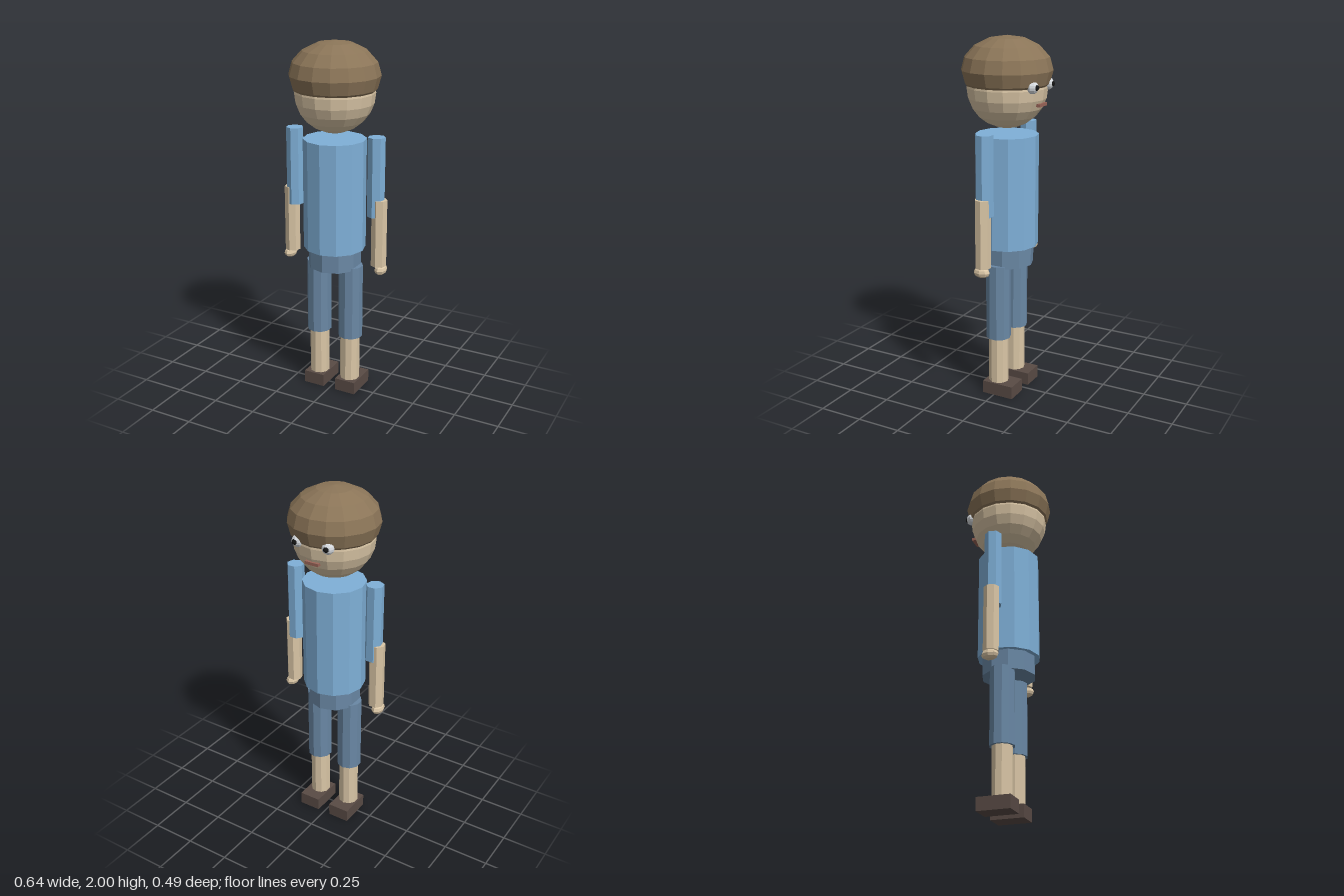
import * as THREE from 'three';

const material = (color) => new THREE.MeshStandardMaterial({ color, flatShading: true });

export function createModel() {
  const model = new THREE.Group();
  model.name = 'standingFigure';

  const hairMat = material(0x8b7558);
  const skinMat = material(0xdac6a6);
  const shirtMat = material(0x7fb0d8);
  const trouserMat = material(0x6a88a5);
  const shoeMat = material(0x594b45);
  const eyeMat = material(0xd8dce0);
  const pupilMat = material(0x151515);
  const mouthMat = material(0x9a6558);

  const add = (name, geometry, mat, x, y, z, parent = model) => {
    const mesh = new THREE.Mesh(geometry, mat);
    mesh.name = name;
    mesh.position.set(x, y, z);
    parent.add(mesh);
    return mesh;
  };

  // Upright prism between two heights
  const column = (name, r, bottom, top, sides, mat, x = 0, parent = model) =>
    add(name, new THREE.CylinderGeometry(r, r, top - bottom, sides), mat, x, (bottom + top) / 2, 0, parent);

  // Head and cap of hair; the face looks towards -z
  add('head', new THREE.SphereGeometry(0.218, 16, 12), skinMat, 0, 1.73, 0);
  add('hair', new THREE.SphereGeometry(0.245, 16, 8), hairMat, 0, 1.82, 0).scale.y = 0.735;
  add('mouth', new THREE.BoxGeometry(0.08, 0.016, 0.03), mouthMat, 0, 1.65, -0.2);

  // Torso
  column('shirt', 0.172, 0.865, 1.48, 12, shirtMat);
  column('hips', 0.148, 0.755, 0.87, 10, trouserMat);

  // Paired parts
  for (const [side, s] of [['left', 1], ['right', -1]]) {
    const eye = new THREE.Group();
    eye.name = `${side}Eye`;
    add('eyeball', new THREE.SphereGeometry(0.034, 8, 8), eyeMat, s * 0.09, 1.75, -0.195, eye);
    add('pupil', new THREE.SphereGeometry(0.016, 8, 6), pupilMat, s * 0.093, 1.75, -0.219, eye);
    model.add(eye);

    const arm = new THREE.Group();
    arm.name = `${side}Arm`;
    column('upperArm', 0.048, 1.08, 1.515, 7, shirtMat, s * 0.248, arm);
    column('forearm', 0.043, 0.8, 1.175, 7, skinMat, s * 0.27, arm);
    add('hand', new THREE.SphereGeometry(1, 8, 6), skinMat, s * 0.285, 0.778, 0, arm).scale.set(0.033, 0.03, 0.048);
    model.add(arm);

    const leg = new THREE.Group();
    leg.name = `${side}Leg`;
    column('thigh', 0.069, 0.34, 0.77, 10, trouserMat, s * 0.1, leg);
    column('shin', 0.056, 0.05, 0.36, 10, skinMat, s * 0.098, leg);
    add('shoe', new THREE.BoxGeometry(0.124, 0.072, 0.185), shoeMat, s * 0.1, 0.036, -0.024, leg);
    model.add(leg);
  }

  return model;
}
